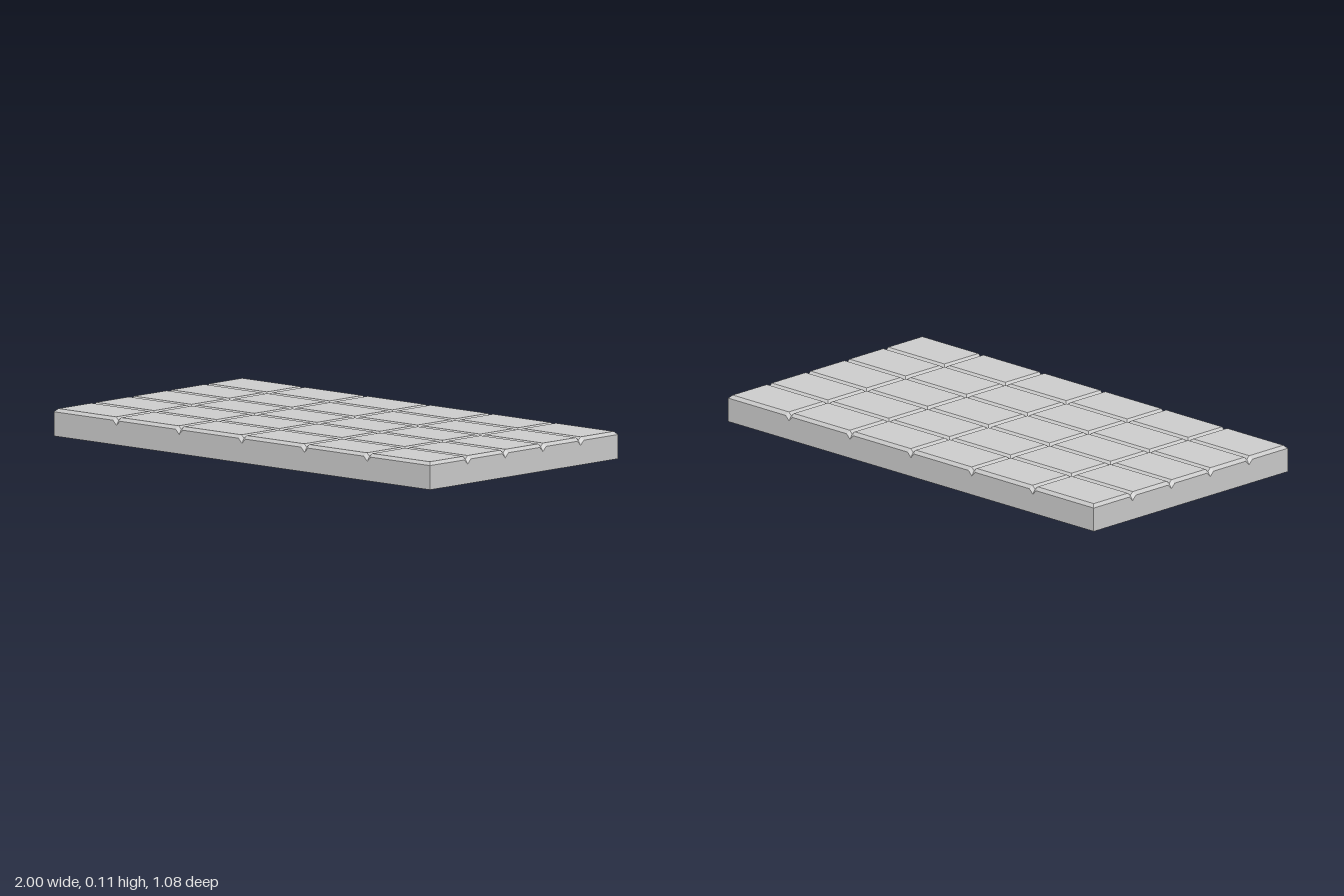
import * as THREE from 'three';

const TOP = 0.108;        // height of the segment tops
const BEVEL = 0.0125;     // rim chamfer and groove depth
const HALF = 0.0135;      // half width of a groove at the top
const NOTCH = 0.077;      // bottom of a groove where it leaves the rim

// Grid stations along one axis: rim, chamfer, the three lines of each groove, chamfer, rim.
// "rim" is the position of the same line on the outer wall, where grooves widen.
function stations(length, count) {
  const h = length / 2;
  const list = [{ pos: -h, rim: -h, edge: true }, { pos: -h + BEVEL, rim: -h + BEVEL }];
  for (let i = 1; i < count; i++) {
    const g = -h + (length * i) / count;
    for (const s of [-1, 0, 1]) {
      list.push({ pos: g + s * HALF, rim: g + s * (HALF + 0.005), groove: s === 0 });
    }
  }
  list.push({ pos: h - BEVEL, rim: h - BEVEL }, { pos: h, rim: h, edge: true });
  return list;
}

function slabGeometry(width, depth, columns, rows) {
  const xs = stations(width, columns), zs = stations(depth, rows);
  const point = (i, j) => {
    const a = xs[i], b = zs[j];
    const edge = a.edge || b.edge, groove = a.groove || b.groove;
    const y = edge ? (groove ? NOTCH : TOP - BEVEL) : (groove ? TOP - BEVEL : TOP);
    return [b.edge ? a.rim : a.pos, y, a.edge ? b.rim : b.pos];
  };
  const out = [];
  const tri = (...pts) => pts.forEach((p) => out.push(...p));
  const quad = (a, b, c, d) => { tri(a, b, c); tri(a, c, d); };
  const floor = ([x, , z]) => [x, 0, z];
  const nx = xs.length - 1, nz = zs.length - 1;

  // Scored top, split along the diagonal that carries the mitre
  for (let i = 0; i < nx; i++) {
    for (let j = 0; j < nz; j++) {
      const a = point(i, j), b = point(i, j + 1), c = point(i + 1, j + 1), d = point(i + 1, j);
      if (Math.max(a[1], c[1]) >= Math.max(b[1], d[1])) quad(a, b, c, d);
      else quad(b, c, d, a);
    }
  }
  // Outer walls
  const wall = (p, q) => quad(p, floor(p), floor(q), q);
  for (let i = 0; i < nx; i++) {
    wall(point(i, nz), point(i + 1, nz));
    wall(point(i + 1, 0), point(i, 0));
  }
  for (let j = 0; j < nz; j++) {
    wall(point(0, j), point(0, j + 1));
    wall(point(nx, j + 1), point(nx, j));
  }
  // Underside
  quad(floor(point(0, 0)), floor(point(nx, 0)), floor(point(nx, nz)), floor(point(0, nz)));

  const geometry = new THREE.BufferGeometry();
  geometry.setAttribute('position', new THREE.Float32BufferAttribute(out, 3));
  geometry.computeVertexNormals();
  return geometry;
}

export function createModel() {
  const group = new THREE.Group();
  group.name = 'segmentedBar';
  const material = new THREE.MeshStandardMaterial({ color: 0xcccccc, flatShading: true });
  const slab = new THREE.Mesh(slabGeometry(2, 1.075, 6, 5), material);
  slab.name = 'scoredSlab';
  group.add(slab);
  return group;
}
